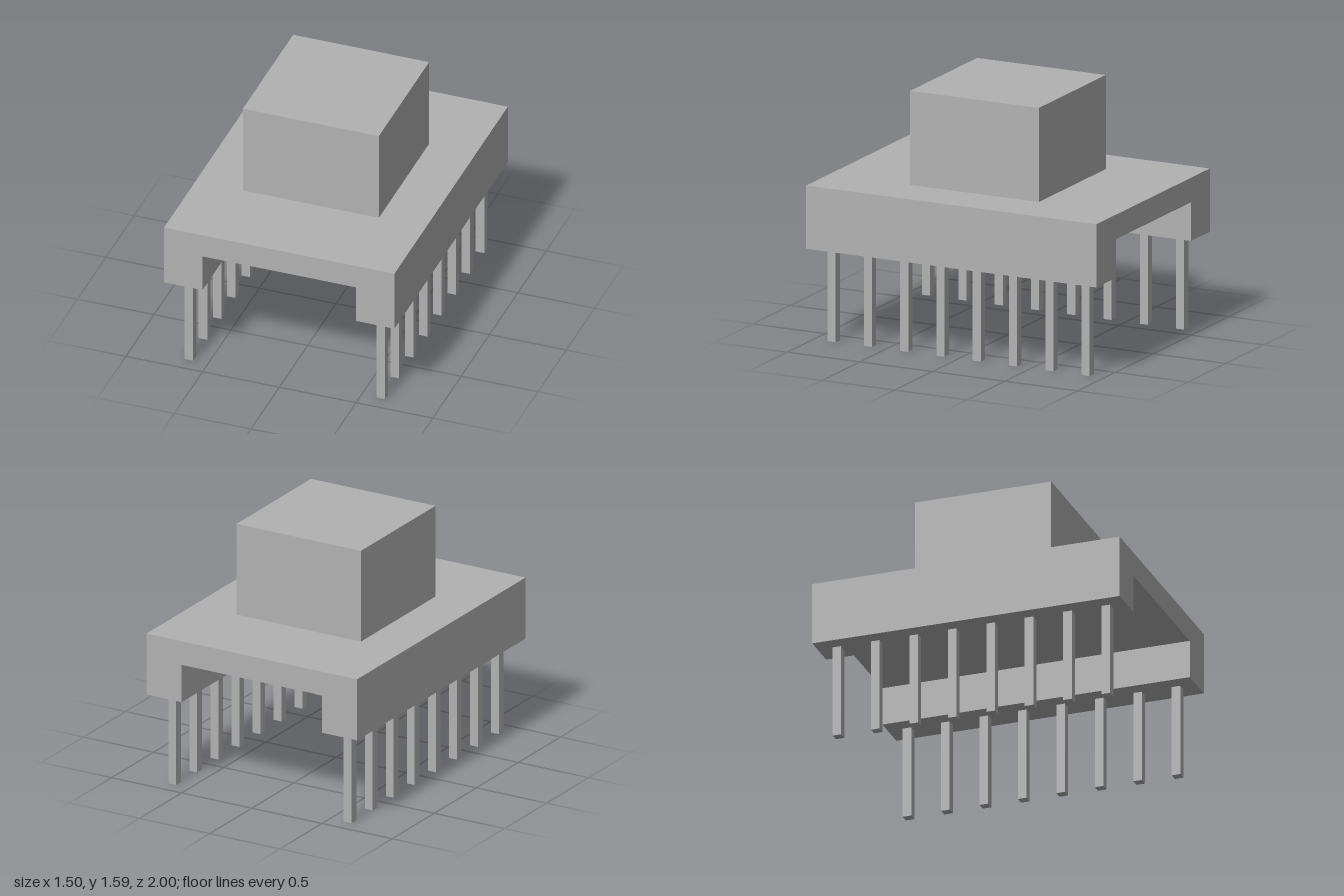
import * as THREE from 'three';

export function createModel() {
  const model = new THREE.Group();
  const grey = new THREE.MeshStandardMaterial({ color: 0xb2b2b2 });
  grey.name = 'light grey';

  const add = (name, geometry, x, y, z) => {
    const mesh = new THREE.Mesh(geometry, grey);
    mesh.name = name;
    mesh.position.set(x, y, z);
    model.add(mesh);
  };

  // Carrier: a channel section, open below, running front to back
  const section = new THREE.Shape([
    [-0.75, 0.595], [-0.5, 0.595], [-0.5, 0.84], [0.5, 0.84],
    [0.5, 0.595], [0.75, 0.595], [0.75, 0.995], [-0.75, 0.995],
  ].map(([x, y]) => new THREE.Vector2(x, y)));
  add('carrier', new THREE.ExtrudeGeometry(section, { depth: 2, bevelEnabled: false }), 0, 0, -1);

  // Block on top of the carrier
  add('topBlock', new THREE.BoxGeometry(0.886, 0.595, 0.886), 0, 0.995 + 0.2975, 0);

  // Two rows of eight square pins
  const pin = new THREE.BoxGeometry(0.056, 0.595, 0.056);
  for (const side of [-1, 1]) {
    for (let i = 0; i < 8; i++) {
      add(side > 0 ? 'leftPin' : 'rightPin', pin, side * 0.625, 0.2975, 0.875 - i * 0.25);
    }
  }
  return model;
}
